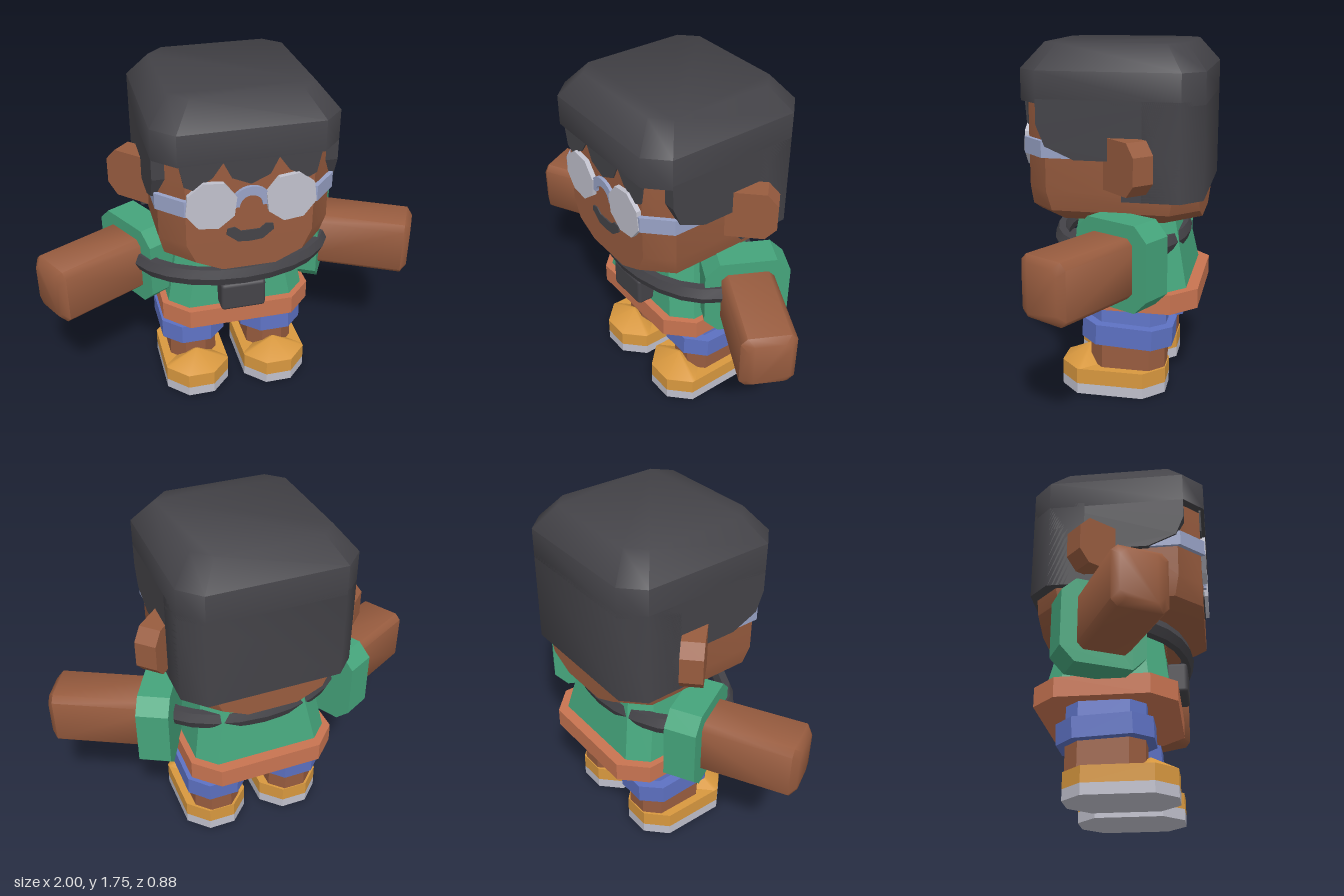
import * as THREE from 'three';
import { toCreasedNormals } from 'three/addons/utils/BufferGeometryUtils.js';
import { RoundedBoxGeometry } from 'three/addons/geometries/RoundedBoxGeometry.js';

const mat = (name, color) => {
  const m = new THREE.MeshStandardMaterial({ color });
  m.name = name;
  return m;
};

// Chamfered-rectangle cross-sections stacked along y: [y, halfX, halfZ, chamfer, centreZ]
function loft(rings, crease = 0.6) {
  const pts = rings.map(([y, hx, hz, c, cz = 0]) => [
    [hx, hz - c], [hx - c, hz], [c - hx, hz], [-hx, hz - c],
    [-hx, c - hz], [c - hx, -hz], [hx - c, -hz], [hx, c - hz],
  ].map(([x, z]) => [x, y, z + cz]));
  const pos = [];
  const tri = (...p) => p.forEach((v) => pos.push(...v));
  for (let r = 0; r < pts.length - 1; r++) {
    for (let i = 0; i < 8; i++) {
      const j = (i + 1) % 8;
      const a = pts[r][i], b = pts[r][j], c = pts[r + 1][j], d = pts[r + 1][i];
      tri(a, d, c);
      tri(a, c, b);
    }
  }
  const bottom = pts[0], top = pts[pts.length - 1];
  for (let i = 1; i < 7; i++) {
    tri(bottom[0], bottom[i], bottom[i + 1]);
    tri(top[0], top[i + 1], top[i]);
  }
  const g = new THREE.BufferGeometry();
  g.setAttribute('position', new THREE.Float32BufferAttribute(pos, 3));
  return toCreasedNormals(g, crease);
}

const shape = (pts) => new THREE.Shape(pts.map(([x, y]) => new THREE.Vector2(x, y)));
const slab = (s, depth) =>
  new THREE.ExtrudeGeometry(s, { depth, bevelEnabled: false, curveSegments: 8 });

// Adds the mirrored right half of a left half outline
const mirrored = (pts) => [...pts, ...pts.filter(([x]) => x !== 0).reverse().map(([x, y]) => [-x, y])];

export function createModel() {
  const model = new THREE.Group();
  const skin = mat('brown skin', 0x985c3f);
  const dark = mat('charcoal', 0x444348);
  const green = mat('green shirt', 0x45a47b);
  const blue = mat('blue shorts', 0x5d71c2);
  const clay = mat('terracotta hem', 0xc87451);
  const orange = mat('orange shoe', 0xd8983f);
  const pale = mat('pale grey', 0xc0c0cc);
  const frame = mat('blue grey frame', 0x98a2c6);

  const add = (parent, name, geometry, material, x = 0, y = 0, z = 0) => {
    const m = new THREE.Mesh(geometry, material);
    m.name = name;
    m.position.set(x, y, z);
    parent.add(m);
    return m;
  };

  // Head narrowing to the chin
  add(model, 'head', loft([
    [0.9, 0.3, 0.415, 0.17], [0.96, 0.39, 0.415, 0.13],
    [1.06, 0.415, 0.415, 0.11], [1.6, 0.415, 0.415, 0.11],
  ]), skin);

  // Hair: cap, back block, side panels and fringe
  add(model, 'hairCap', loft([
    [1.48, 0.44, 0.44, 0.1], [1.63, 0.44, 0.44, 0.1], [1.75, 0.34, 0.34, 0.08],
  ], 0.95), dark);
  add(model, 'hairBack', loft([
    [1.03, 0.44, 0.19, 0.1, -0.25], [1.5, 0.44, 0.19, 0.1, -0.25],
  ], 0.95), dark);
  const sides = slab(shape([
    [0.34, 1.5], [0.34, 1.38], [0.3, 1.28], [0.16, 1.22], [0, 1.22],
    [-0.065, 1.22], [-0.065, 1.03], [-0.34, 1.03], [-0.34, 1.5],
  ]), 0.88);
  sides.rotateY(-Math.PI / 2);
  add(model, 'hairSides', sides, dark, 0.44);
  add(model, 'fringe', slab(shape(mirrored([
    [0, 1.35], [-0.09, 1.39], [-0.13, 1.47], [-0.18, 1.4], [-0.27, 1.35],
    [-0.31, 1.37], [-0.33, 1.47], [-0.33, 1.5],
  ].reverse())), 0.009), dark, 0, 0, 0.414);

  // Mouth
  add(model, 'mouth', slab(shape(mirrored([
    [0, 1.105], [-0.045, 1.105], [-0.075, 1.13], [-0.11, 1.125],
    [-0.115, 1.095], [-0.06, 1.05], [0, 1.045],
  ])), 0.008), dark, 0, 0, 0.413);

  // Glasses bridge
  const arch = new THREE.Shape();
  arch.absarc(0, 0, 0.1, 0, Math.PI, false);
  arch.absarc(0, 0, 0.055, Math.PI, 0, true);
  add(model, 'glassesBridge', slab(arch, 0.02), frame, 0, 1.24, 0.412);

  // Lower body hem
  add(model, 'shirtHem', loft([
    [0.465, 0.39, 0.347, 0.12, -0.068], [0.565, 0.39, 0.347, 0.12, -0.068],
  ]), clay);

  // Torso with neckline
  add(model, 'torso', loft([
    [0.55, 0.36, 0.3, 0.09, -0.06], [0.92, 0.29, 0.24, 0.09, -0.045],
  ]), green);
  const neck = add(model, 'neckline',
    slab(shape([[-0.12, 0.1], [0, 0], [0.12, 0.1]]), 0.008), skin, 0, 0.81, 0.208);
  neck.rotation.x = -0.12;

  // Strap around the body and front pouch
  const strap = new THREE.TorusGeometry(0.45, 0.047, 6, 24);
  strap.rotateX(Math.PI / 2);
  strap.scale(1.07, 1.1, 0.7);
  add(model, 'strap', toCreasedNormals(strap, 0.6), dark, 0, 0.787, 0.003);
  add(model, 'pouch', new RoundedBoxGeometry(0.23, 0.155, 0.11, 2, 0.018), dark, 0, 0.652, 0.265);

  // Paired parts, built for the left and mirrored
  for (const side of [1, -1]) {
    const half = new THREE.Group();
    half.name = side > 0 ? 'leftSide' : 'rightSide';
    half.scale.x = side;
    model.add(half);

    // Ear, swept back
    const ear = slab(shape([
      [-0.06, -0.125], [0.185, -0.125], [0.24, -0.065],
      [0.24, 0.065], [0.185, 0.125], [-0.06, 0.125],
    ]), 0.11);
    ear.translate(0, 0, -0.11);
    add(half, 'ear', ear, skin, 0.42, 1.205, 0.02).rotation.y = Math.PI / 4;

    // Lens and temple of the glasses
    const lens = new THREE.CylinderGeometry(0.125, 0.125, 0.03, 8);
    lens.rotateY(Math.PI / 8 + 0.12);
    lens.rotateX(Math.PI / 2);
    add(half, 'lens', toCreasedNormals(lens, 0.6), pale, 0.19, 1.265, 0.424);
    const temple = slab(shape([
      [0.25, 0.435], [0.315, 0.435], [0.43, 0.32], [0.43, 0.1],
      [0.41, 0.1], [0.41, 0.31], [0.31, 0.41], [0.25, 0.41],
    ]), 0.08);
    temple.rotateX(Math.PI / 2);
    add(half, 'glassesTemple', temple, frame, 0, 1.303, 0);

    // Arm and sleeve, angled forward
    const arm = new THREE.Group();
    arm.name = 'arm';
    arm.position.set(0.538, 0.755, -0.035);
    arm.rotation.y = -0.487;
    half.add(arm);
    const sleeve = loft([[-0.16, 0.21, 0.21, 0.07], [0, 0.21, 0.21, 0.07]]);
    const limb = loft([
      [-0.1, 0.145, 0.13, 0.03], [0.437, 0.145, 0.13, 0.03], [0.467, 0.115, 0.1, 0.03],
    ], 0.9);
    for (const g of [sleeve, limb]) g.rotateZ(-Math.PI / 2);
    add(arm, 'sleeve', sleeve, green);
    add(arm, 'forearm', limb, skin);

    // Leg, shorts and shoe
    const leg = new THREE.Group();
    leg.name = 'leg';
    leg.position.x = 0.217;
    half.add(leg);
    add(leg, 'shin', loft([
      [0.1, 0.128, 0.19, 0.07, -0.065], [0.33, 0.122, 0.19, 0.07, -0.065],
    ]), skin);
    add(leg, 'shortsLeg', loft([
      [0.3, 0.125, 0.193, 0.07, -0.065], [0.48, 0.105, 0.193, 0.07, -0.065],
    ]), blue);
    const cuff = add(leg, 'shortsCuff', loft([
      [-0.052, 0.168, 0.23, 0.09], [0.052, 0.168, 0.23, 0.09],
    ]), blue, 0, 0.322, -0.065);
    cuff.rotation.x = -0.045;
    add(leg, 'sole', loft([
      [0, 0.17, 0.267, 0.1, 0.007], [0.055, 0.17, 0.267, 0.1, 0.007],
    ]), pale);
    add(leg, 'shoe', loft([
      [0.055, 0.17, 0.267, 0.1, 0.007], [0.135, 0.17, 0.267, 0.1, 0.007],
    ]), orange);
    add(leg, 'shoeTongue', loft([
      [0.134, 0.17, 0.11, 0.1, 0.164], [0.21, 0.006, 0.004, 0.002, 0.14],
    ]), orange);
  }
  return model;
}
